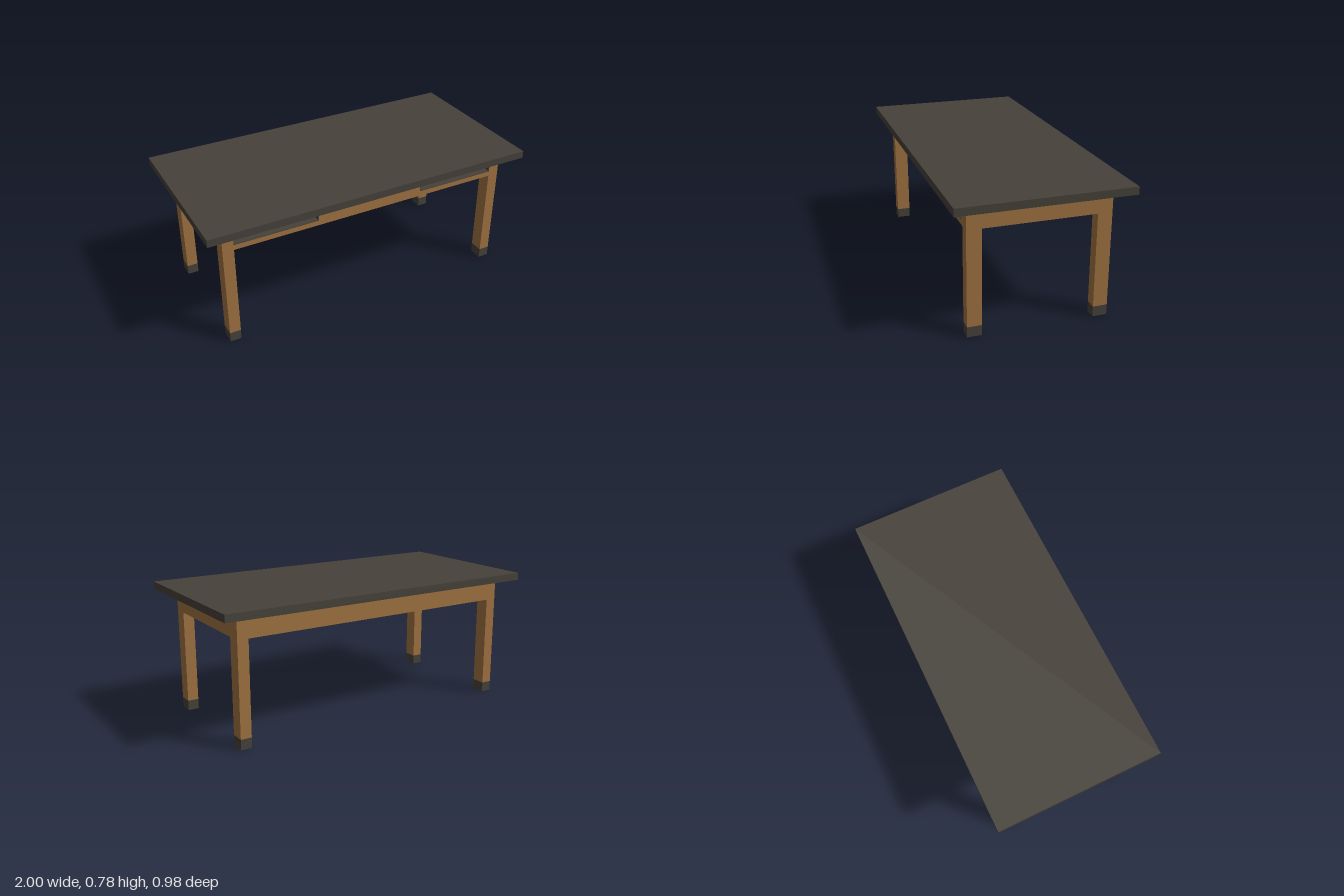
import * as THREE from 'three';

const wood = new THREE.MeshStandardMaterial({ color: 0xa07242 });
wood.name = 'warm wood';
const dark = new THREE.MeshStandardMaterial({ color: 0x46413a });
dark.name = 'dark charcoal';

// Box given by its minimum and maximum corners
function box(name, material, [x0, y0, z0], [x1, y1, z1]) {
  const mesh = new THREE.Mesh(new THREE.BoxGeometry(x1 - x0, y1 - y0, z1 - z0), material);
  mesh.position.set((x0 + x1) / 2, (y0 + y1) / 2, (z0 + z1) / 2);
  mesh.name = name;
  return mesh;
}

export function createModel() {
  const table = new THREE.Group();
  table.name = 'table';

  const X = 0.895, Z = 0.4;               // outer half size of the frame
  const legX = 0.83, legZ = 0.317;        // inner faces of the legs
  const footTop = 0.06, bottom = 0.608, shelf = 0.638, under = 0.732, top = 0.776;
  const bayX = 0.33, bayBack = -0.32;     // inner side and back of the open bays

  table.add(box('tableTop', dark, [-1, under, -0.49], [1, top, 0.49]));
  table.add(box('framePanel', wood, [-X, bottom, -Z], [X, shelf, Z]));

  // Upper frame: plan outline with two bays open to the front
  const plan = new THREE.Shape([
    [-X, Z], [X, Z], [X, -Z], [legX, -Z], [legX, -bayBack], [bayX, -bayBack], [bayX, -Z],
    [-bayX, -Z], [-bayX, -bayBack], [-legX, -bayBack], [-legX, -Z], [-X, -Z],
  ].map(([x, y]) => new THREE.Vector2(x, y)));
  const frame = new THREE.Mesh(
    new THREE.ExtrudeGeometry(plan, { depth: under - shelf, bevelEnabled: false }), wood);
  frame.rotation.x = -Math.PI / 2;
  frame.position.y = shelf;
  frame.name = 'upperFrame';
  table.add(frame);

  for (const side of [-1, 1]) {
    // Dark lining of each bay: floor, back and both sides
    const t = 0.004;
    const a = side < 0 ? -legX : bayX, b = side < 0 ? -bayX : legX;
    const bay = new THREE.Group();
    bay.name = side < 0 ? 'rightBay' : 'leftBay';
    bay.add(
      box('bayFloor', dark, [a, shelf, bayBack], [b, shelf + t, Z]),
      box('bayBack', dark, [a, shelf, bayBack], [b, under, bayBack + t]),
      box('baySideA', dark, [a, shelf, bayBack], [a + t, under, Z]),
      box('baySideB', dark, [b - t, shelf, bayBack], [b, under, Z]));
    table.add(bay);

    // Legs with dark feet, flush with the frame
    for (const end of [-1, 1]) {
      const xs = [side * legX, side * X].sort((p, q) => p - q);
      const zs = [end * legZ, end * Z].sort((p, q) => p - q);
      const prefix = (end > 0 ? 'front' : 'back') + (side > 0 ? 'Left' : 'Right');
      table.add(
        box(prefix + 'Leg', wood, [xs[0], footTop, zs[0]], [xs[1], bottom, zs[1]]),
        box(prefix + 'Foot', dark, [xs[0], 0, zs[0]], [xs[1], footTop, zs[1]]));
    }
  }
  return table;
}
